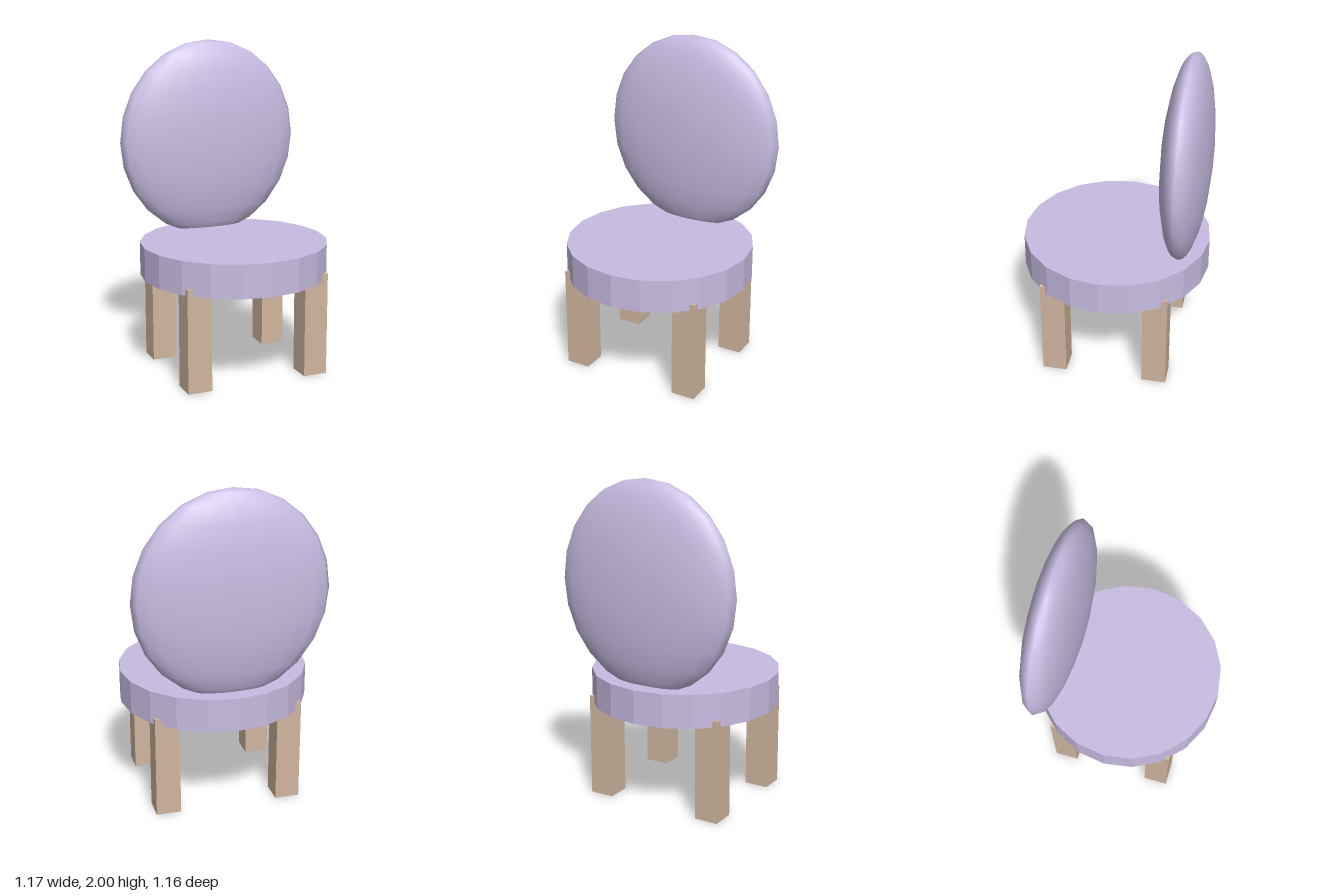
import * as THREE from 'three';

export function createModel() {
  const group = new THREE.Group();
  const fabric = new THREE.MeshStandardMaterial({ color: 0xc8bce2 });
  const fabricFlat = new THREE.MeshStandardMaterial({ color: 0xc8bce2, flatShading: true });
  const wood = new THREE.MeshStandardMaterial({ color: 0xd0b69f });

  const add = (name, geometry, material, x, y, z) => {
    const mesh = new THREE.Mesh(geometry, material);
    mesh.name = name;
    mesh.position.set(x, y, z);
    group.add(mesh);
  };

  // Round faceted seat
  add('seat', new THREE.CylinderGeometry(0.578, 0.578, 0.205, 20), fabricFlat, 0, 0.6975, 0);

  // Flattened oval cushion, sunk slightly into the rear of the seat
  const cushion = new THREE.SphereGeometry(1, 20, 12).scale(0.587, 0.624, 0.145);
  add('backrest', cushion, fabric, 0, 1.376, -0.423);

  // Four square legs, their tops let into the seat
  const legHeight = 0.635;
  const leg = new THREE.BoxGeometry(0.15, legHeight, 0.15);
  for (const [side, sx] of [['Left', 1], ['Right', -1]]) {
    for (const [end, sz] of [['front', 1], ['back', -1]]) {
      add(`${end}${side}Leg`, leg, wood, sx * 0.377, legHeight / 2, sz * 0.315);
    }
  }
  return group;
}
